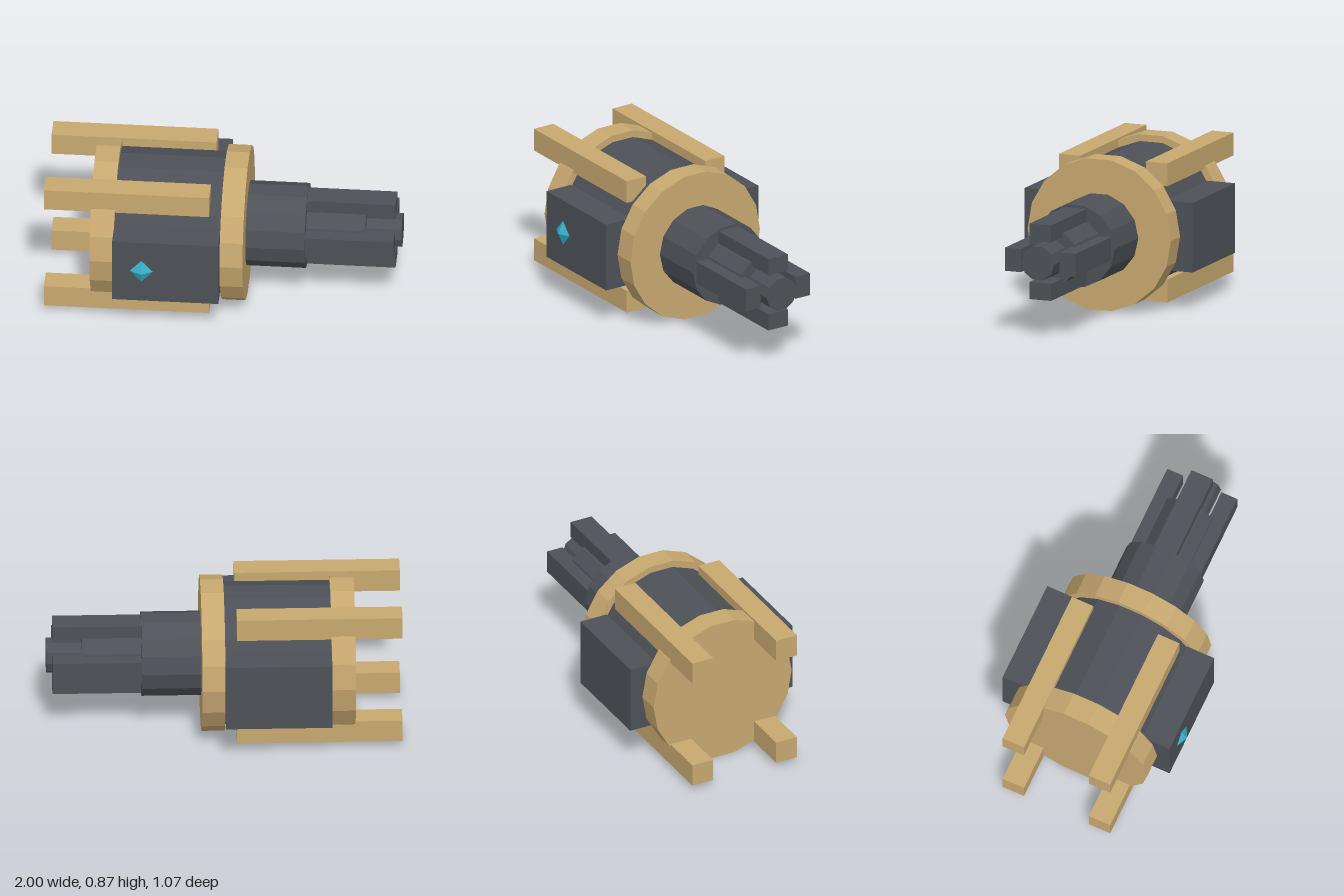
import * as THREE from 'three';

// Shared axis of all the turned parts (runs along x)
const AY = 0.435, AZ = -0.015;

export function createModel() {
  const model = new THREE.Group();
  model.name = 'generator';

  const material = (name, color) => {
    const m = new THREE.MeshStandardMaterial({ color, flatShading: true });
    m.name = name;
    return m;
  };
  const tan = material('tan', 0xc8a870);
  const darkGrey = material('darkGrey', 0x4d5157);
  const teal = material('teal', 0x35b0c9);

  const add = (name, geometry, mat, x, y, z) => {
    const mesh = new THREE.Mesh(geometry, mat);
    mesh.name = name;
    mesh.position.set(x, AY + y, AZ + z);
    model.add(mesh);
    return mesh;
  };
  // Faceted drum between x0 and x1, with a corner facing +z
  const drum = (name, x0, x1, radius, sides, mat) => {
    const g = new THREE.CylinderGeometry(radius, radius, x1 - x0, sides).rotateZ(-Math.PI / 2);
    return add(name, g, mat, (x0 + x1) / 2, 0, 0);
  };
  // Box between x0 and x1, centred at (y, z) from the axis
  const bar = (name, x0, x1, y, z, h, d, mat) =>
    add(name, new THREE.BoxGeometry(x1 - x0, h, d), mat, (x0 + x1) / 2, y, z);

  // Main body with its end flanges
  drum('body', -0.6, 0, 0.4, 18, darkGrey);
  drum('rearFlange', -0.735, -0.6, 0.44, 18, tan);
  drum('frontFlange', 0, 0.13, 0.44, 18, tan);

  // Stepped shaft
  drum('shaftBase', 0.13, 0.465, 0.24, 14, darkGrey);
  drum('shaftMiddle', 0.465, 0.8, 0.16, 12, darkGrey);
  drum('shaftTip', 0.8, 1, 0.1, 10, darkGrey);

  for (const s of [1, -1]) {
    // Prongs around the shaft
    bar('verticalProng', 0.465, 0.965, s * 0.168, 0, 0.098, 0.133, darkGrey);
    bar('sideProng', 0.465, 0.965, 0, s * 0.168, 0.133, 0.098, darkGrey);

    // Side housings
    bar('sideHousing', -0.6, 0, 0, s * 0.433, 0.4, 0.168, darkGrey);

    // Four long rails at the corners
    for (const t of [1, -1]) bar('rail', -1, -0.067, s * 0.334, t * 0.267, 0.132, 0.132, tan);
  }

  // Gem set into the front housing
  const gem = add('gem', new THREE.OctahedronGeometry(0.077), teal, -0.435, 0.003, 0.515);
  gem.scale.set(0.9, 1, 0.45);

  return model;
}
